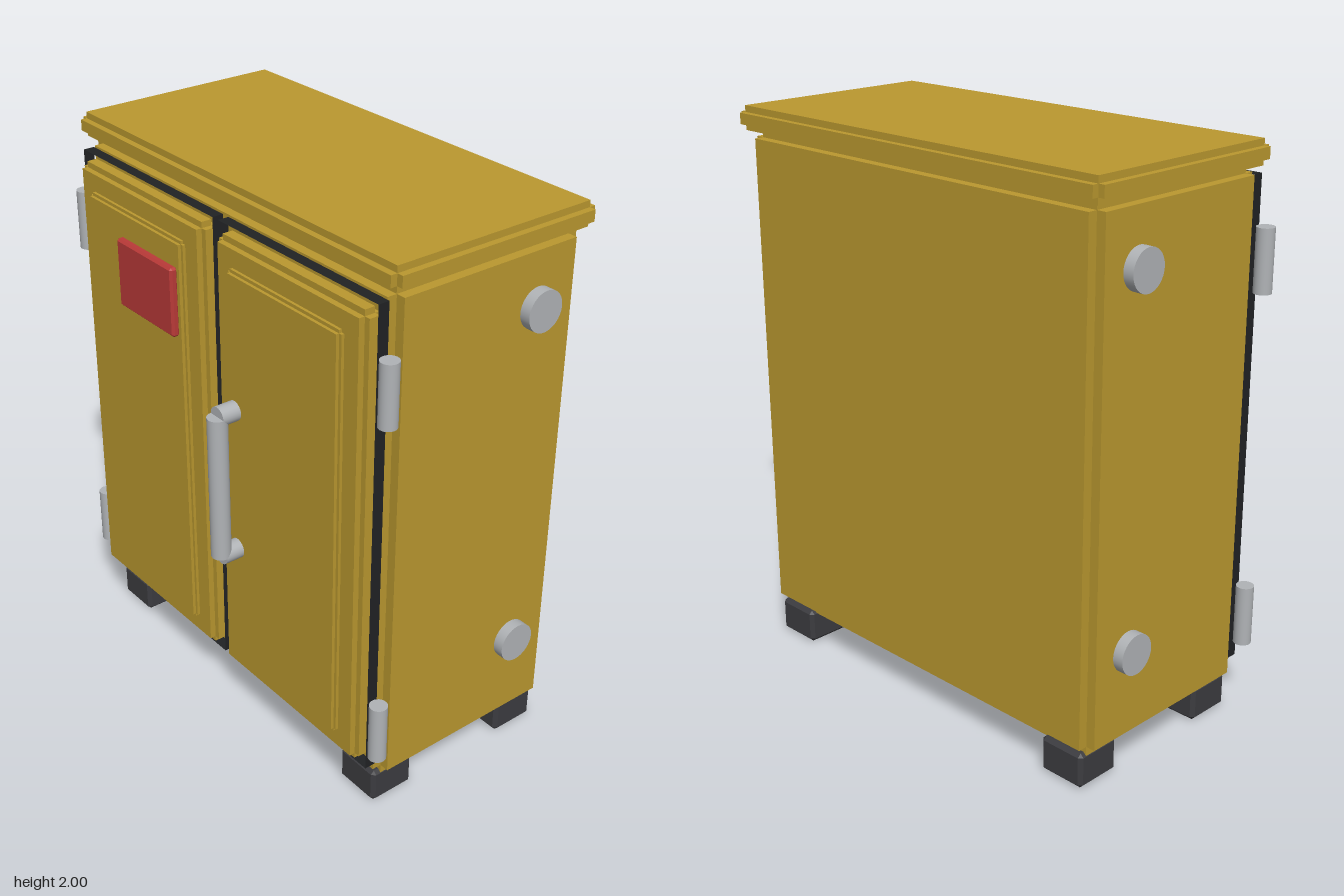
import * as THREE from 'three';
import { ConvexGeometry } from 'three/addons/geometries/ConvexGeometry.js';

const material = (name, color, extra = {}) => {
  const m = new THREE.MeshStandardMaterial({ color, ...extra });
  m.name = name;
  return m;
};

export function createModel() {
  const yellow = material('yellow paint', 0xba982f);
  const steel = material('steel', 0xb0b3b6);
  const red = material('red plate', 0xba3a38);
  const rubber = material('dark rubber', 0x3c3c40);
  const seal = material('black seal', 0x202224, { side: THREE.DoubleSide });

  const model = new THREE.Group();
  model.name = 'cabinet';

  const add = (name, geometry, mat, x, y, z, parent = model) => {
    const mesh = new THREE.Mesh(geometry, mat);
    mesh.name = name;
    mesh.position.set(x, y, z);
    parent.add(mesh);
    return mesh;
  };

  // Box with notched edges: three crossed boxes, each full size along one axis
  const steppedBox = (name, mat, min, max, step) => {
    const group = new THREE.Group();
    group.name = name;
    const size = max.map((v, i) => v - min[i]);
    const mid = max.map((v, i) => (v + min[i]) / 2);
    for (let axis = 0; axis < 3; axis++) {
      const s = size.map((v, i) => (i === axis ? v : v - 2 * step));
      add(name + 'Core', new THREE.BoxGeometry(...s), mat, ...mid, group);
    }
    model.add(group);
  };

  // Box with chamfered edges
  const chamferBox = (w, h, d, c) => {
    const half = [w / 2, h / 2, d / 2];
    const points = [];
    for (const sx of [-1, 1]) for (const sy of [-1, 1]) for (const sz of [-1, 1])
      for (let axis = 0; axis < 3; axis++) {
        const p = half.map((v, i) => (i === axis ? v : v - c));
        points.push(new THREE.Vector3(p[0] * sx, p[1] * sy, p[2] * sz));
      }
    return new ConvexGeometry(points);
  };

  // Housing and overhanging roof
  steppedBox('body', yellow, [-0.802, 0.116, -0.461], [0.802, 1.924, 0.295], 0.034);
  steppedBox('roof', yellow, [-0.83, 1.915, -0.49], [0.83, 2, 0.32], 0.023);

  // Feet
  const footGeo = chamferBox(0.175, 0.127, 0.173, 0.013);
  for (const x of [-0.682, 0.682])
    for (const z of [0.206, -0.367]) add('foot', footGeo, rubber, x, 0.0635, z);

  // Doors with raised panels, each ringed by a thin seal
  for (const side of [-1, 1]) {
    const span = (a, b) => (side > 0 ? [a, b] : [-b, -a]);
    const [d0, d1] = span(0.036, 0.756);
    steppedBox('door', yellow, [d0, 0.207, 0.29], [d1, 1.855, 0.369], 0.021);
    const [p0, p1] = span(0.122, 0.672);
    steppedBox('doorPanel', yellow, [p0, 0.29, 0.35], [p1, 1.772, 0.39], 0.011);

    const sealGroup = new THREE.Group();
    sealGroup.name = 'doorSeal';
    sealGroup.position.set(side * 0.3955, 1.032, 0.315);
    for (const s of [-1, 1]) {
      add('sealSide', new THREE.PlaneGeometry(0.04, 1.7), seal, s * 0.381, 0, 0, sealGroup)
        .rotation.y = s * Math.PI / 2;
      add('sealEnd', new THREE.PlaneGeometry(0.762, 0.04), seal, 0, s * 0.85, 0, sealGroup)
        .rotation.x = -s * Math.PI / 2;
    }
    model.add(sealGroup);

    // Hinge barrels and round side bolts
    for (const y of [0.361, 1.612])
      add('hinge', new THREE.CylinderGeometry(0.031, 0.031, 0.216, 24), steel, side * 0.814, y, 0.32);
    for (const y of [0.45, 1.7])
      add('sideBolt', new THREE.CylinderGeometry(0.07, 0.07, 0.06, 32), steel, side * 0.81, y, -0.277)
        .rotation.z = Math.PI / 2;
  }

  // Warning plate
  add('warningPlate', chamferBox(0.322, 0.248, 0.03, 0.008), red, -0.306, 1.556, 0.4);

  // Handle: grip on two posts
  add('handleGrip', new THREE.CylinderGeometry(0.035, 0.035, 0.532, 24), steel, 0.157, 1.022, 0.459);
  for (const y of [0.756, 1.288])
    add('handlePost', new THREE.CylinderGeometry(0.035, 0.035, 0.08, 24), steel, 0.157, y, 0.419)
      .rotation.x = Math.PI / 2;

  return model;
}
